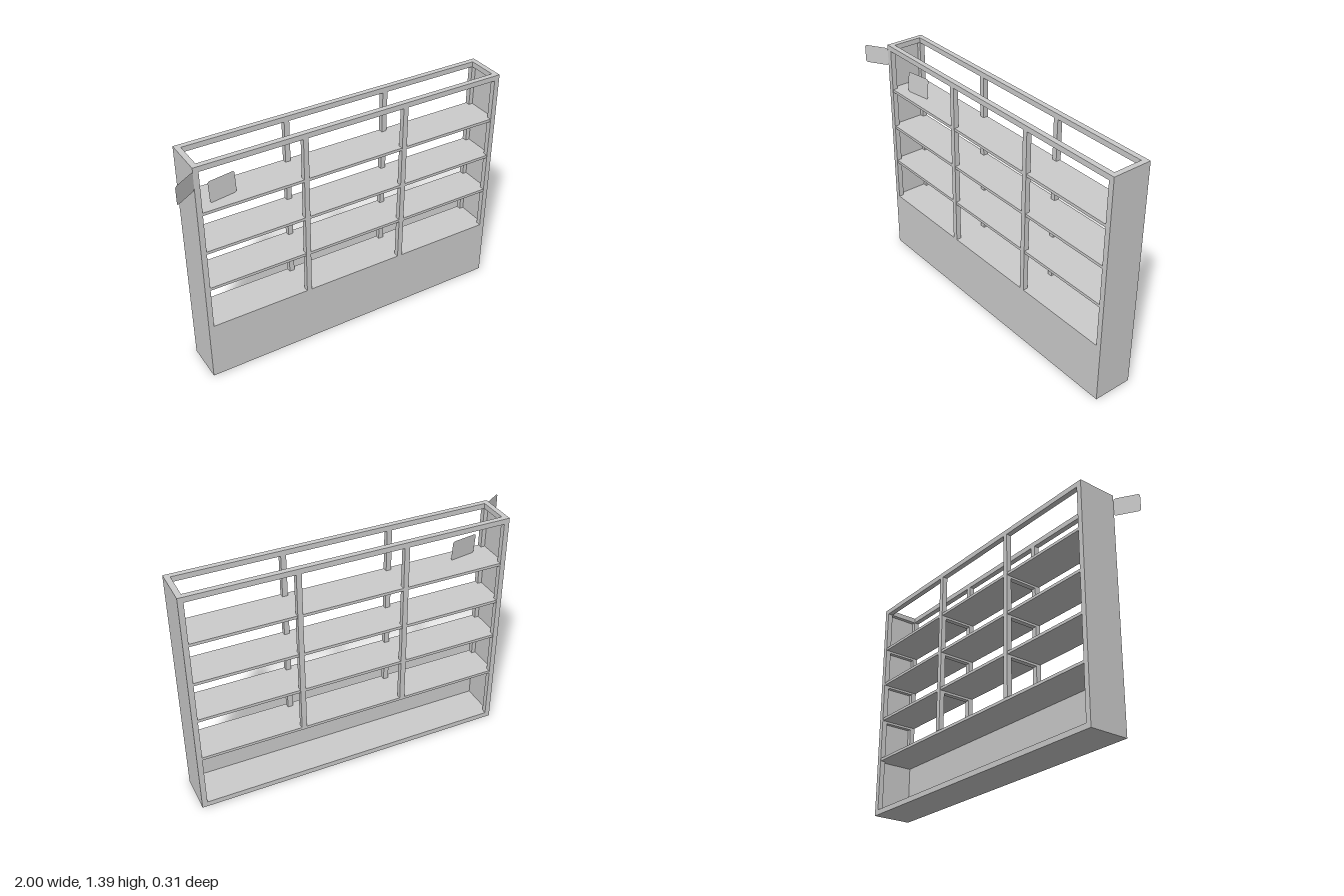
import * as THREE from 'three';

const X0 = -0.876, X1 = 1, Z0 = -0.157, Z1 = 0.08, H = 1.386;
const T = 0.031;   // frame bar
const P = 0.006;   // thin panel
const BASE = 0.357; // top of the closed base

export function createModel() {
  const group = new THREE.Group();
  const mat = new THREE.MeshStandardMaterial({ color: 0xcccccc });
  const thin = new THREE.MeshStandardMaterial({ color: 0xcccccc, side: THREE.DoubleSide });

  // Box given by its two opposite corners
  const box = (name, x0, x1, y0, y1, z0, z1) => {
    const m = new THREE.Mesh(new THREE.BoxGeometry(x1 - x0, y1 - y0, z1 - z0), mat);
    m.position.set((x0 + x1) / 2, (y0 + y1) / 2, (z0 + z1) / 2);
    m.name = name;
    group.add(m);
  };

  // Floor, base front and side walls
  box('floor', X0, X1, 0, T, Z0, Z1);
  box('baseFront', X0, X1, T, BASE, Z1 - P, Z1);
  box('rightWall', X0, X0 + P, T, H - T, Z0 + T, Z1 - T);
  box('leftWall', X1 - P, X1, T, H - T, Z0 + T, Z1 - T);

  // Front and back frames: corner posts, uprights and top rail
  const dividers = [-0.248, 0.369];
  for (const [side, z0, bottom] of [['back', Z0, T], ['front', Z1 - T, BASE]]) {
    box(side + 'TopRail', X0, X1, H - T, H, z0, z0 + T);
    for (const x of [X0, X1 - T]) box(side + 'CornerPost', x, x + T, bottom, H - T, z0, z0 + T);
    for (const x of dividers) box(side + 'Upright', x - 0.015, x + 0.015, BASE, H - T, z0, z0 + T);
  }
  // Base side edges behind the front panel
  for (const x of [X0, X1 - P]) box('baseSide', x, x + P, T, BASE, Z1 - T, Z1 - P);

  // Top side rails; the top stays open
  for (const x of [X0, X1 - T]) box('topSideRail', x, x + T, H - T, H, Z0 + T, Z1 - T);

  // Shelves, with bearers joining the front and back uprights
  for (const y of [BASE, 0.622, 0.863, 1.108]) {
    box('shelf', X0 + P, X1 - P, y - 0.017, y, Z0 + 0.003, Z1 - 0.003);
    if (y === BASE) continue;
    for (const x of [X0 + T / 2, ...dividers, X1 - T / 2])
      box('shelfBearer', x - 0.015, x + 0.015, y - 0.03, y - 0.017, Z0 + T, Z1 - T);
  }

  // Thin cards with rounded corners
  const card = (name, w, h, x, y, z, turn, lean) => {
    const s = new THREE.Shape(), a = w / 2, b = h / 2, r = 0.014;
    s.absarc(a - r, b - r, r, 0, Math.PI / 2);
    s.absarc(r - a, b - r, r, Math.PI / 2, Math.PI);
    s.absarc(r - a, r - b, r, Math.PI, Math.PI * 1.5);
    s.absarc(a - r, r - b, r, Math.PI * 1.5, Math.PI * 2);
    const m = new THREE.Mesh(new THREE.ShapeGeometry(s, 6), thin);
    m.position.set(x, y, z);
    m.rotation.set(lean, turn, 0, 'YXZ');
    m.name = name;
    group.add(m);
  };
  card('sideSign', 0.146, 0.108, -0.938, 1.311, 0.1185, 0.556, 0);
  card('shelfCard', 0.164, 0.124, -0.694, 1.17, -0.001, 0.16, -0.08);

  return group;
}
